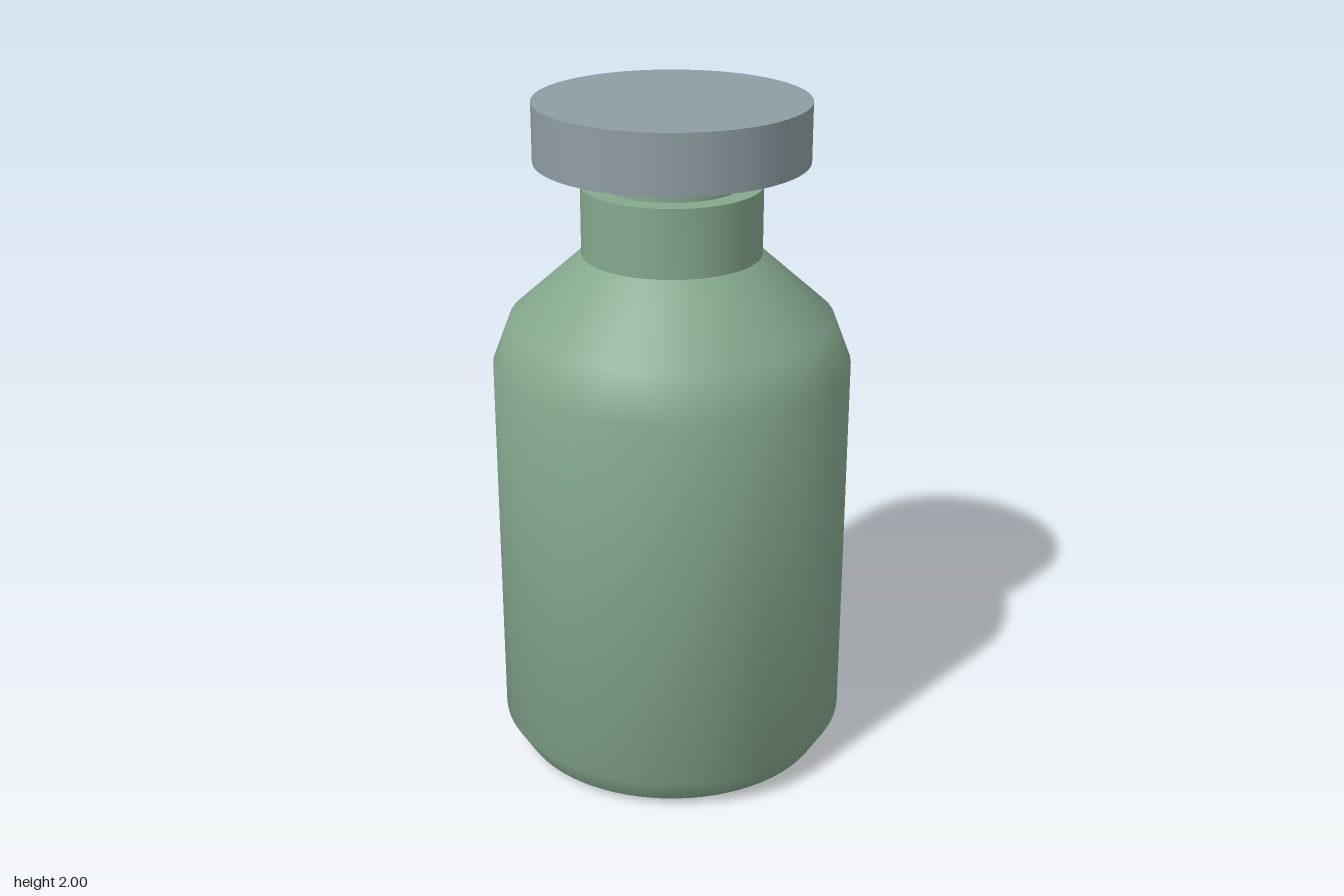
import * as THREE from 'three';
import { toCreasedNormals } from 'three/addons/utils/BufferGeometryUtils.js';

const SEGMENTS = 64;

// Spins a [radius, height] profile, listed bottom to top, smooth except at sharp corners
function turned(name, profile, material) {
  const points = profile.map(([r, y]) => new THREE.Vector2(r, y));
  const geometry = toCreasedNormals(new THREE.LatheGeometry(points, SEGMENTS), 0.7);
  const mesh = new THREE.Mesh(geometry, material);
  mesh.name = name;
  return mesh;
}

export function createModel() {
  const group = new THREE.Group();
  group.name = 'bottle';
  const glass = new THREE.MeshStandardMaterial({ color: 0x85a88e });
  const metal = new THREE.MeshStandardMaterial({ color: 0x8f9da3 });

  // Body with chamfered base, sloping shoulder and neck collar
  group.add(turned('body', [
    [0, 0.02], [0.47, 0.02], [0.522, 0.105], [0.522, 1.24],
    [0.472, 1.37], [0.26, 1.56], [0.26, 1.76], [0, 1.76],
  ], glass));

  // Raised ring under the base
  group.add(turned('footRing', [
    [0.18, 0.02], [0.19, 0], [0.21, 0], [0.225, 0.006], [0.225, 0.02],
  ], glass));

  // Narrow mouth between collar and cap
  const mouth = new THREE.Mesh(new THREE.CylinderGeometry(0.2, 0.2, 0.08, SEGMENTS), glass);
  mouth.name = 'mouth';
  mouth.position.y = 1.795;
  group.add(mouth);

  // Flat wide cap
  const cap = new THREE.Mesh(new THREE.CylinderGeometry(0.392, 0.392, 0.17, SEGMENTS), metal);
  cap.name = 'cap';
  cap.position.y = 1.915;
  group.add(cap);

  return group;
}
